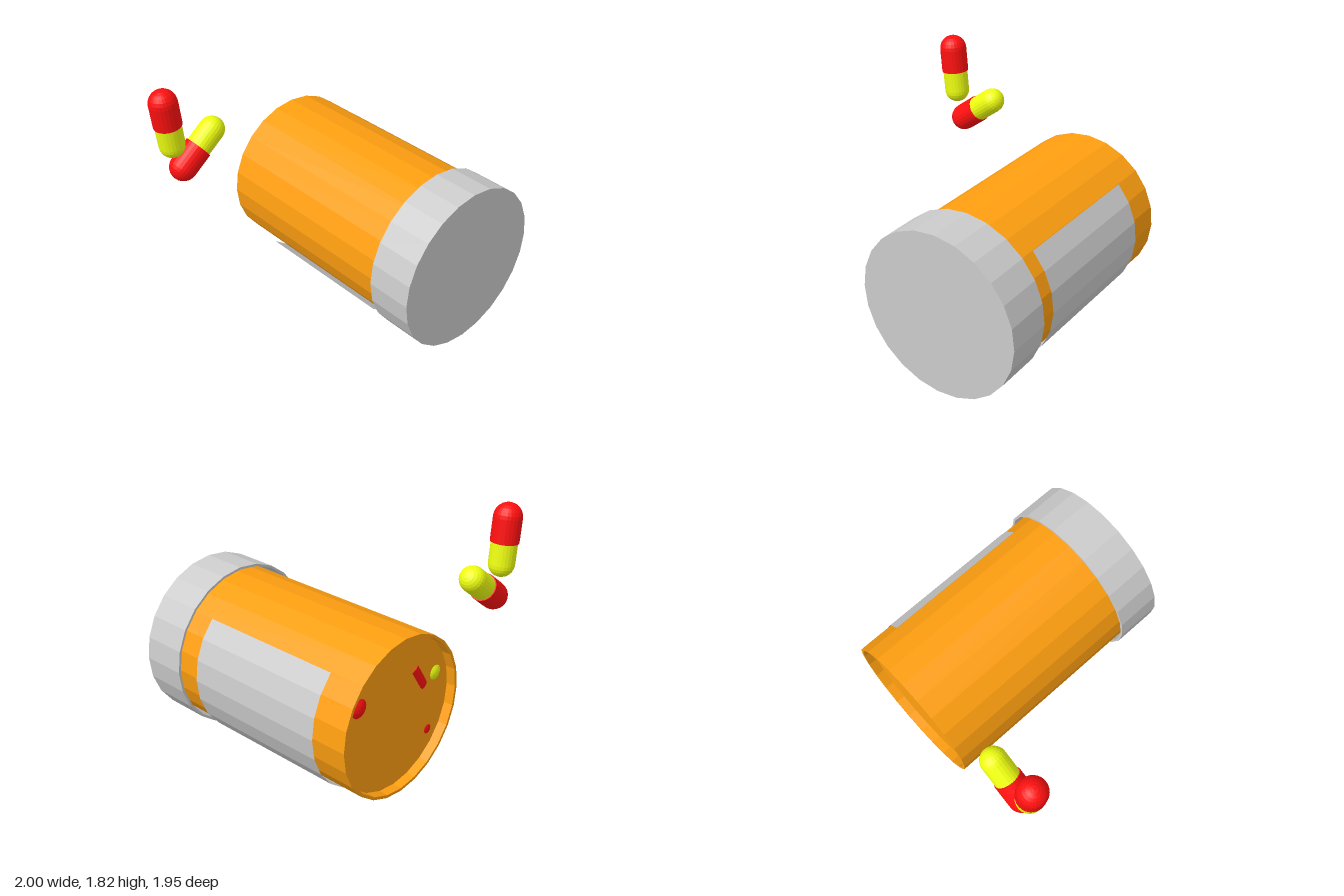
import * as THREE from 'three';

const material = (color, side = THREE.FrontSide) =>
  new THREE.MeshStandardMaterial({ color, flatShading: true, side });
const orange = material(0xff9f10);
const red = material(0xff1010);
const yellow = material(0xeeff10);
const grey = material(0xcccccc);
const greyThin = material(0xcccccc, THREE.DoubleSide);

const SIDES = 24;
const CX = 0.36, CY = 0.642; // bottle axis

function lathe(points) {
  return new THREE.LatheGeometry(points.map(([r, h]) => new THREE.Vector2(r, h)), SIDES);
}

function addMesh(parent, name, geometry, mat) {
  const mesh = new THREE.Mesh(geometry, mat);
  mesh.name = name;
  parent.add(mesh);
  return mesh;
}

// Quarter circle profile: below the centre (sign -1) or above it (sign 1)
function dome(radius, height, sign) {
  const points = [];
  for (let i = 0; i <= 6; i++) {
    const a = (i / 6) * Math.PI / 2;
    points.push([i === 6 ? 0 : radius * Math.cos(a), height + sign * radius * Math.sin(a)]);
  }
  return sign < 0 ? points.reverse() : points;
}

// Two-part capsules, placed by the centres of their rounded ends
const LENGTH = 0.354, SPLIT = 0.186, R_RED = 0.107, R_YELLOW = 0.099;
const redHalf = lathe([...dome(R_RED, 0, -1), [R_RED, SPLIT], [R_YELLOW - 0.005, SPLIT]]);
const yellowHalf = lathe([[R_YELLOW, SPLIT - 0.02], ...dome(R_YELLOW, LENGTH, 1)]);

function makePill(name, redEnd, yellowEnd) {
  const pill = new THREE.Group();
  pill.name = name;
  addMesh(pill, 'redHalf', redHalf, red);
  addMesh(pill, 'yellowHalf', yellowHalf, yellow);
  const from = new THREE.Vector3(...redEnd);
  const direction = new THREE.Vector3(...yellowEnd).sub(from).normalize();
  pill.position.copy(from);
  pill.quaternion.setFromUnitVectors(new THREE.Vector3(0, 1, 0), direction);
  return pill;
}

export function createModel() {
  const model = new THREE.Group();
  model.name = 'pillBottle';

  // Bottle lying along z, with a recessed base at the back
  const body = lathe([[0, -0.9], [0.578, -0.9], [0.578, -0.972], [0.6, -0.972], [0.6, 0.9]]);
  addMesh(model, 'bottleBody', body.rotateX(Math.PI / 2), orange).position.set(CX, CY, 0);

  // Hollow cap, a little wider than the bottle
  const cap = lathe([[0, 0.9], [0.622, 0.9], [0.622, 0.62], [0.64, 0.62], [0.64, 0.975], [0, 0.975]]);
  addMesh(model, 'cap', cap.rotateX(Math.PI / 2), grey).position.set(CX, CY, 0);

  // Label wrapped over half of the bottle, from upper left to lower right
  const label = new THREE.CylinderGeometry(0.617, 0.617, 1.16, SIDES / 2, 1, true, -Math.PI / 4, Math.PI);
  addMesh(model, 'label', label.rotateX(Math.PI / 2), greyThin).position.set(0.352, 0.628, -0.12);

  // Loose pills beside the bottle, and pills inside that show through its base
  const pills = [
    ['loosePill', [-0.893, 1.717, -0.872], [-0.857, 1.367, -0.872]],
    ['loosePill', [-0.78, 1.138, -0.872], [-0.5, 1.355, -0.872]],
    ['insidePill', [0.06, 0.75, -0.8], [0.25, 1.05, -0.8]],
    ['insidePill', [0.736, 0.85, -0.82], [0.62, 0.8, -0.49]],
    ['insidePill', [0.05, 0.74, -0.49], [-0.07, 0.79, -0.82]],
    ['insidePill', [-0.01, 0.35, -0.8], [0.1, 0.42, -0.47]],
  ];
  pills.forEach(([name, redEnd, yellowEnd], i) => model.add(makePill(name + (i + 1), redEnd, yellowEnd)));

  return model;
}
